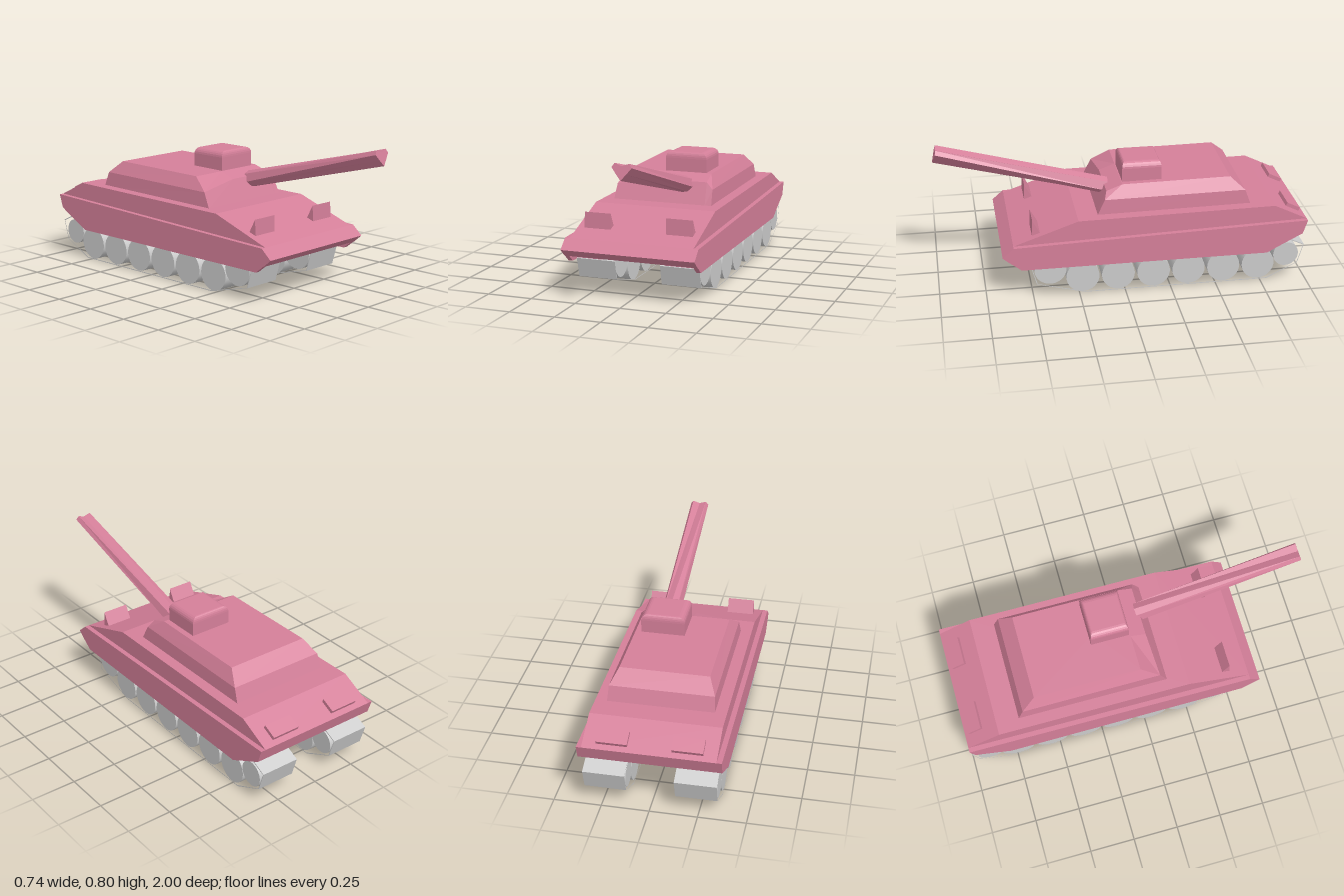
import * as THREE from 'three';

const paint = new THREE.MeshStandardMaterial({ color: 0xd47f99, flatShading: true });
const grey = new THREE.MeshStandardMaterial({ color: 0xcccccc });

const toPath = (points, PathType) => new PathType(points.map(([z, y]) => new THREE.Vector2(z, y)));

// Extrude a [z, y] side profile across the width from x0 to x1
function sideExtrude(profile, x0, x1, hole) {
  const shape = toPath(profile, THREE.Shape);
  if (hole) shape.holes.push(toPath(hole, THREE.Path));
  const geo = new THREE.ExtrudeGeometry(shape, { depth: x1 - x0, bevelEnabled: false });
  return geo.rotateY(-Math.PI / 2).translate(x1, 0, 0);
}

// Join matching rings of [x, y, z] points and cap both ends
function loft(rings) {
  const pos = [];
  const tri = (...corners) => corners.forEach((p) => pos.push(...p));
  const middle = (ring) => [0, 1, 2].map((k) => ring.reduce((s, p) => s + p[k], 0) / ring.length);
  const n = rings[0].length;
  const first = rings[0], last = rings[rings.length - 1];
  for (let i = 0; i < n; i++) {
    const j = (i + 1) % n;
    for (let r = 0; r < rings.length - 1; r++) {
      const a = rings[r], b = rings[r + 1];
      tri(a[i], a[j], b[j]);
      tri(a[i], b[j], b[i]);
    }
    tri(middle(first), first[j], first[i]);
    tri(middle(last), last[i], last[j]);
  }
  const geo = new THREE.BufferGeometry();
  geo.setAttribute('position', new THREE.Float32BufferAttribute(pos, 3));
  geo.computeVertexNormals();
  return geo;
}

export function createModel() {
  const model = new THREE.Group();
  const add = (name, geo, material = paint, parent = model) => {
    const mesh = new THREE.Mesh(geo, material);
    mesh.name = name;
    parent.add(mesh);
    return mesh;
  };

  // Hull: narrower upper deck standing on a wider lower body
  add('upperHull', sideExtrude(
    [[0.6, 0.31], [0.25, 0.432], [-0.82, 0.444], [-1, 0.356]], -0.343, 0.343));
  add('lowerHull', sideExtrude(
    [[0.66, 0.257], [0.6, 0.31], [-1, 0.356], [-0.975, 0.28], [-0.85, 0.215], [0.61, 0.215]], -0.37, 0.37));

  // Turret: boxy rings with an uneven front edge
  const turretRing = (x, zBack, cornerY, cornerZ, midY, midZ, backY) => [
    [x, cornerY, cornerZ], [x, backY, zBack], [-x, backY, zBack],
    [-x, cornerY, cornerZ], [-0.04, midY, midZ], [x - 0.037, midY, midZ],
  ];
  add('turret', loft([
    turretRing(0.282, -0.7, 0.43, 0.14, 0.43, 0.14, 0.43),
    turretRing(0.276, -0.667, 0.514, 0.1, 0.55, 0.086, 0.52),
    turretRing(0.237, -0.59, 0.582, 0.0, 0.582, 0.0, 0.588),
  ]));

  // Commander's cupola: upright walls with a rounded top edge
  const cupolaRing = (y, t) => {
    const x = 0.118 - 0.034 * t, z = 0.107 - 0.017 * t;
    return [[x, z], [x, -z], [-x, -z], [-x, z]].map(([px, pz]) => [0.087 + px, y, pz - 0.112]);
  };
  const cupolaRings = [cupolaRing(0.57, 0)];
  for (let i = 0; i <= 5; i++) {
    const a = (i / 5) * Math.PI / 2;
    cupolaRings.push(cupolaRing(0.655 + 0.034 * Math.sin(a), 1 - Math.cos(a)));
  }
  add('cupola', loft(cupolaRings));

  // Gun barrel: raised eight-sided tube with a notched muzzle
  const barrelRing = (y, z, section) =>
    section.map(([x, v]) => [0.11 + x, y + 0.967 * v, z - 0.255 * v]);
  add('gunBarrel', loft([
    barrelRing(0.526, 0.075, [[0.052, -0.01], [0.036, 0.035], [0, 0.05], [-0.036, 0.035],
      [-0.052, -0.01], [-0.027, -0.037], [0, -0.042], [0.027, -0.037]]),
    barrelRing(0.762, 0.985, [[0.052, 0.022], [0.038, 0.043], [0, 0.029], [-0.038, 0.043],
      [-0.052, 0.022], [-0.027, -0.01], [0, -0.042], [0.027, -0.01]]),
  ]));

  // Closed track loop, with a thin inset copy as its opening
  const loop = [[0.46, 0.218], [0.51, 0.18], [0.48, 0.073], [0.22, 0.005], [-0.79, 0.005],
    [-0.96, 0.09], [-0.993, 0.2], [-0.9, 0.245], [-0.8, 0.22]];
  const opening = loop.map(([z, y]) => [-0.24 + (z + 0.24) * 0.994, 0.12 + (y - 0.12) * 0.96]);
  const wheels = [[0.405, 0.157, 0.087], [-0.893, 0.147, 0.07]];
  for (let i = 0; i < 6; i++) wheels.push([0.23 - i * 0.1935, 0.1, 0.09]);

  for (const side of [-1, 1]) {
    const label = side > 0 ? 'left' : 'right';
    const span = (a, b) => (side > 0 ? [a, b] : [-b, -a]);

    // Side skirt and the guard above the track
    add(label + 'Skirt', sideExtrude(
      [[0.62, 0.225], [-0.868, 0.225], [-0.78, 0.177], [0.56, 0.177]], ...span(0.345, 0.37)));
    add(label + 'TrackGuard', new THREE.BoxGeometry(0.172, 0.02, 1.36))
      .position.set(side * 0.258, 0.211, -0.11);

    // Front wedge lamp and rear deck hatch
    add(label + 'FrontLamp', sideExtrude(
      [[0.496, 0.342], [0.492, 0.432], [0.45, 0.355]], ...span(0.155, 0.303)));
    const hatch = add(label + 'RearHatch', new THREE.BoxGeometry(0.16, 0.024, 0.08));
    hatch.position.set(side * 0.193, 0.395, -0.939);
    hatch.rotation.x = -0.456;

    // Running gear
    const gear = new THREE.Group();
    gear.name = label + 'RunningGear';
    model.add(gear);
    add('trackBand', sideExtrude(loop, ...span(0.127, 0.345), opening), grey, gear);
    for (const [z, y, r] of wheels) {
      const geo = new THREE.CylinderGeometry(r, r, 0.214, 32).rotateZ(Math.PI / 2);
      add('roadWheel', geo, grey, gear).position.set(side * 0.236, y, z);
    }
  }
  return model;
}
